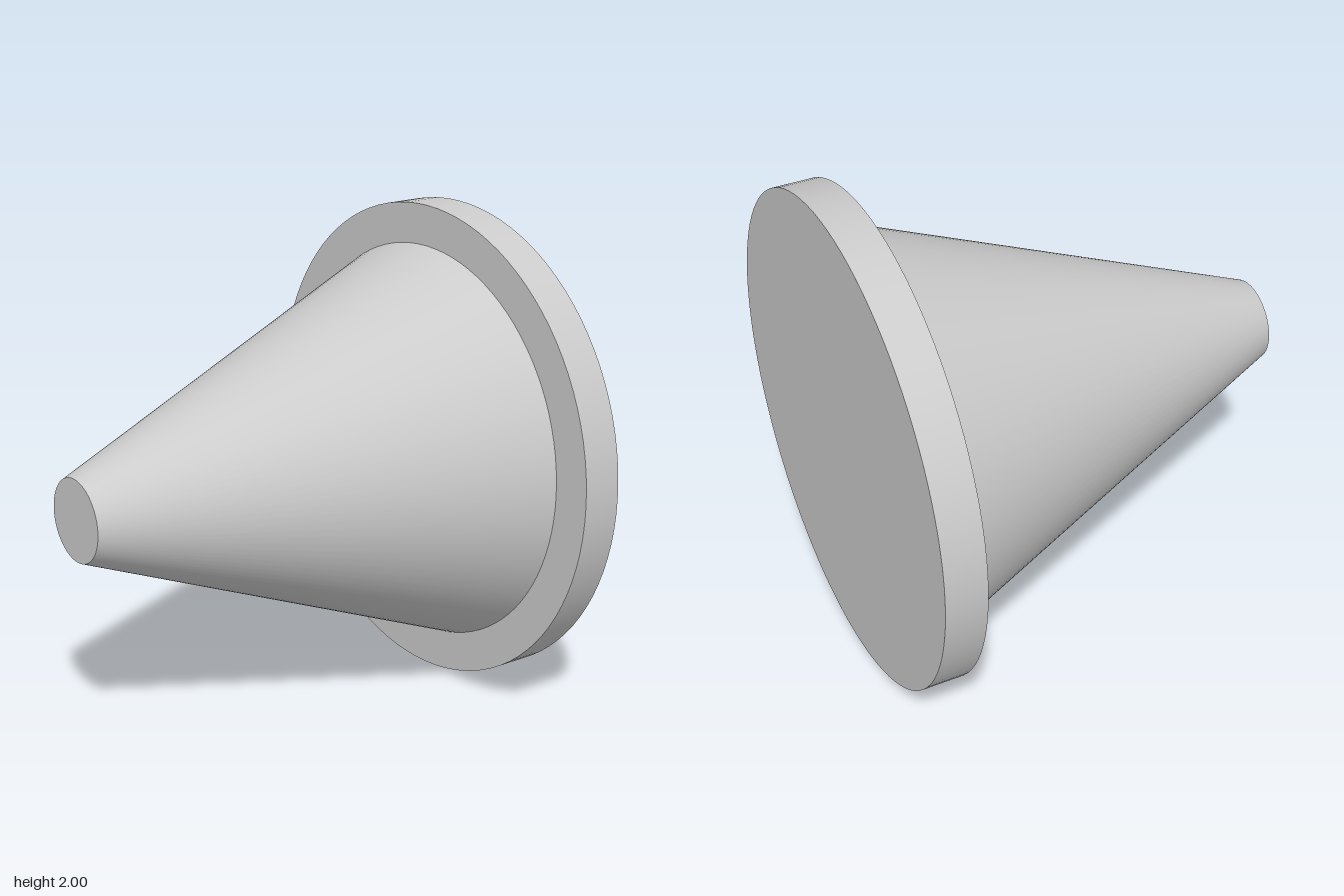
import * as THREE from 'three';

const SEGMENTS = 96;
const HALF_DEPTH = 0.917;
const FLANGE_FRONT = -0.75;

export function createModel() {
  const group = new THREE.Group();
  group.name = 'flangedCone';
  const material = new THREE.MeshStandardMaterial({ color: 0xcccccc });

  // Round solid lying along z, from the back to the front
  function addRound(name, backRadius, frontRadius, backZ, frontZ) {
    const geometry = new THREE.CylinderGeometry(frontRadius, backRadius, frontZ - backZ, SEGMENTS);
    geometry.rotateX(Math.PI / 2);
    const mesh = new THREE.Mesh(geometry, material);
    mesh.name = name;
    mesh.position.set(0, 1, (backZ + frontZ) / 2);
    group.add(mesh);
  }

  // Flat disc at the back
  addRound('flange', 1, 1, -HALF_DEPTH, FLANGE_FRONT);
  // Truncated cone pointing forward
  addRound('cone', 0.833, 0.167, FLANGE_FRONT, HALF_DEPTH);

  return group;
}
